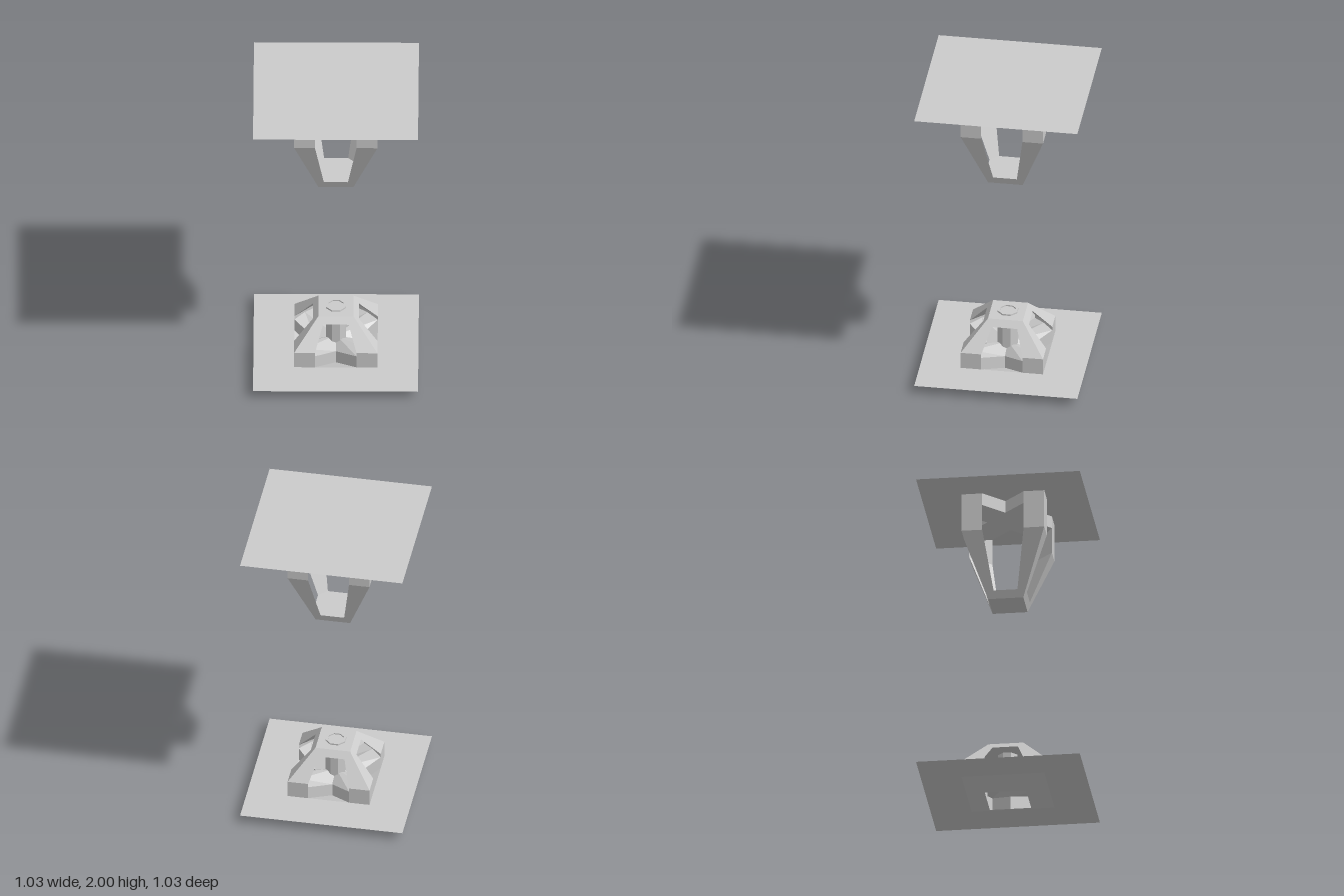
import * as THREE from 'three';

const solid = new THREE.MeshStandardMaterial({ color: 0xcccccc, flatShading: true });
const sheet = new THREE.MeshStandardMaterial({ color: 0xcccccc, flatShading: true, side: THREE.DoubleSide });

// Skin a list of cross-sections; closed rings run counter-clockwise seen from above
function loft(sections, { closed = true, caps = true } = {}) {
  const pos = [];
  const tri = (a, b, c) => pos.push(...a, ...b, ...c);
  for (let s = 0; s < sections.length - 1; s++) {
    const a = sections[s], b = sections[s + 1], n = a.length;
    for (let i = 0; i < (closed ? n : n - 1); i++) {
      const j = (i + 1) % n;
      tri(a[i], a[j], b[j]);
      tri(a[i], b[j], b[i]);
    }
  }
  if (caps) {
    const first = sections[0], last = sections[sections.length - 1];
    for (let i = 1; i < first.length - 1; i++) {
      tri(first[0], first[i + 1], first[i]);
      tri(last[0], last[i], last[i + 1]);
    }
  }
  const g = new THREE.BufferGeometry();
  g.setAttribute('position', new THREE.Float32BufferAttribute(pos, 3));
  g.computeVertexNormals();
  return g;
}

const square = (h, y) => [[-h, y, h], [h, y, h], [h, y, -h], [-h, y, -h]];
// Corner triangle of a leg: outer corner at o, window edge at i
const corner = (o, i, y) => [[i, y, o], [o, y, o], [o, y, i]];

// One arm of the diagonal cross: side walls with a ridged face between them
function armGeometry(tip, inner) {
  const section = (p, m, q, [wp, eave, ridge]) => [
    [p[0], wp, p[1]], [p[0], eave, p[1]], [m, ridge, m], [q[0], eave, q[1]], [q[0], wp, q[1]],
  ];
  return loft([
    section([0.13, 0.26], 0.195, [0.26, 0.13], tip),
    section([0, 0.13], 0, [0.13, 0], inner),
  ], { closed: false, caps: false });
}

export function createModel() {
  const model = new THREE.Group();
  const add = (parent, name, geometry, material = solid) => {
    const mesh = new THREE.Mesh(geometry, material);
    mesh.name = name;
    parent.add(mesh);
    return mesh;
  };
  const fourTimes = (parent, name, geometry, material) => {
    for (let k = 0; k < 4; k++) add(parent, name, geometry, material).rotation.y = k * Math.PI / 2;
  };

  // Floor sheet dipping to a square opening
  add(model, 'floor', loft([square(0.515, 0.055), square(0.26, 0.055), square(0.13, 0)], { caps: false }), sheet);

  // Ceiling sheet
  const ceiling = new THREE.PlaneGeometry(1.03, 1.03).rotateX(-Math.PI / 2).translate(0, 2, 0);
  add(model, 'ceiling', ceiling, sheet);

  // Pedestal on the floor
  const base = new THREE.Group();
  base.name = 'pedestal';
  model.add(base);
  fourTimes(base, 'pedestalLeg',
    loft([corner(0.26, 0.13, 0.055), corner(0.26, 0.13, 0.165), corner(0.144, 0.08, 0.3)]));
  fourTimes(base, 'pedestalCrossArm', armGeometry([0.055, 0.14, 0.15], [0, 0.085, 0.115]), sheet);
  add(base, 'pedestalCap', loft([square(0.144, 0.3), square(0.11, 0.34)]));

  // Eight-sided core with a recessed top
  const profile = [[0.066, 0.1], [0.066, 0.35], [0.052, 0.35], [0.052, 0.342], [0, 0.342]];
  const core = new THREE.LatheGeometry(profile.map(p => new THREE.Vector2(...p)), 8);
  add(base, 'core', core, sheet).rotation.y = Math.PI / 8;

  // Cage hanging from the ceiling
  const cage = new THREE.Group();
  cage.name = 'hangingCage';
  model.add(cage);
  fourTimes(cage, 'cageLeg',
    loft([corner(0.128, 0.075, 1.39), corner(0.26, 0.13, 1.75), corner(0.26, 0.13, 2)]));
  fourTimes(cage, 'cageCrossArm', armGeometry([2, 1.92, 1.89], [2, 1.92, 1.89]), sheet);
  add(cage, 'cageFoot', loft([square(0.11, 1.34), square(0.128, 1.39)]));

  return model;
}
